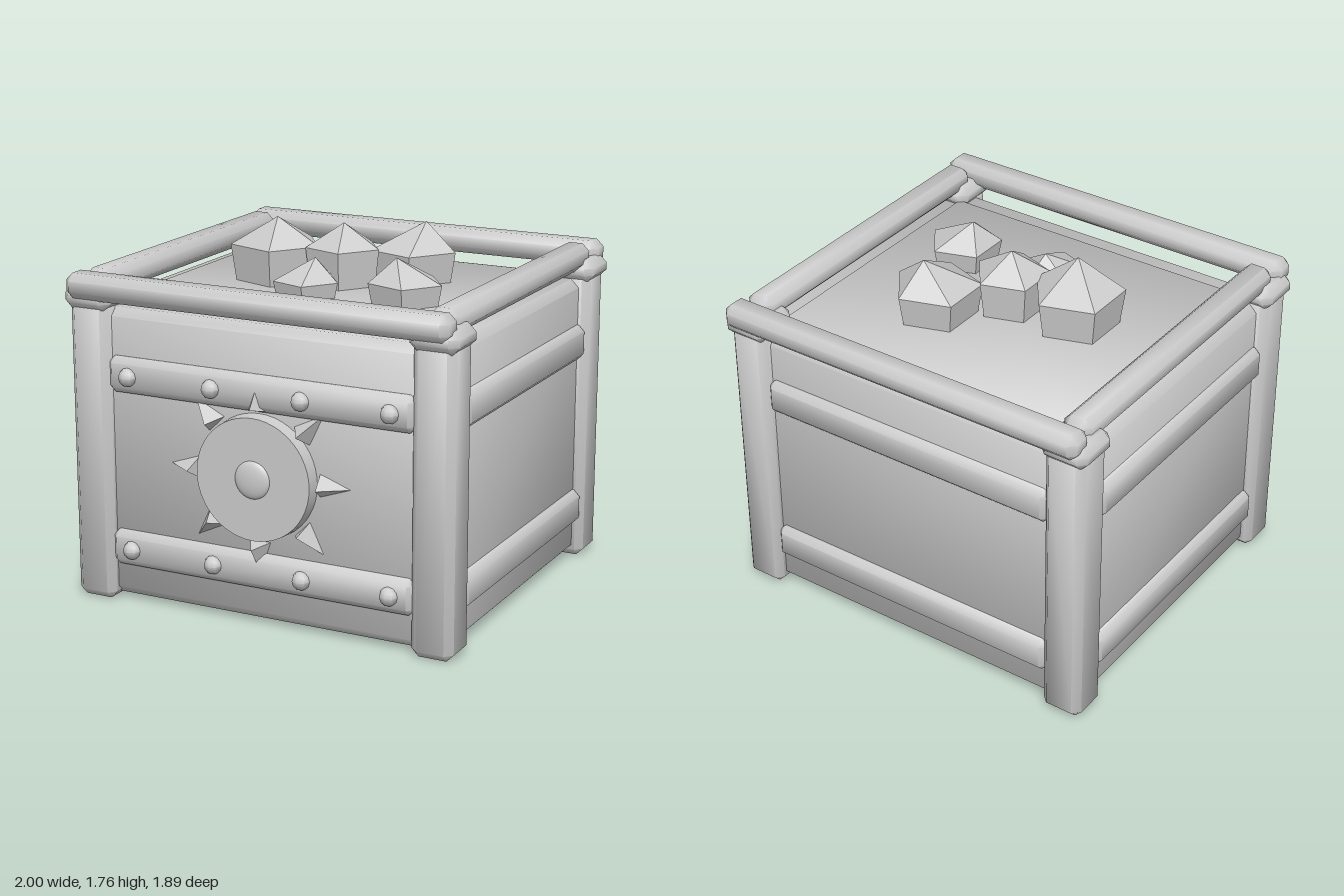
import * as THREE from 'three';
import { toCreasedNormals } from 'three/addons/utils/BufferGeometryUtils.js';
import { ConvexGeometry } from 'three/addons/geometries/ConvexGeometry.js';

// Box with chamfered edges and softened normals
function chamferBox(w, h, d, c) {
  const points = [];
  for (const sx of [-1, 1]) for (const sy of [-1, 1]) for (const sz of [-1, 1]) {
    const x = w / 2, y = h / 2, z = d / 2;
    points.push(
      new THREE.Vector3(sx * x, sy * (y - c), sz * (z - c)),
      new THREE.Vector3(sx * (x - c), sy * y, sz * (z - c)),
      new THREE.Vector3(sx * (x - c), sy * (y - c), sz * z)
    );
  }
  return toCreasedNormals(new ConvexGeometry(points), 1.0);
}

// Five-sided crystal: tapered shaft with a point that leans by (dx, dz)
function crystalGeometry(r, base, tip, dx, dz) {
  const shoulder = tip - 0.62 * r;
  const profile = [[0.88 * r, base], [r, shoulder], [0, tip]].map(([x, y]) => new THREE.Vector2(x, y));
  const geo = new THREE.LatheGeometry(profile, 5).rotateY(Math.PI / 2);
  const pos = geo.attributes.position;
  for (let i = 0; i < pos.count; i++) {
    if (pos.getY(i) > tip - 0.001) pos.setXYZ(i, dx, tip, dz);
  }
  const flat = geo.toNonIndexed();
  flat.computeVertexNormals();
  return flat;
}

export function createModel() {
  const model = new THREE.Group();
  const grey = new THREE.MeshStandardMaterial({ color: 0xcccccc });
  grey.name = 'plain grey';

  const add = (name, geo, x = 0, y = 0, z = 0) => {
    const mesh = new THREE.Mesh(geo, grey);
    mesh.name = name;
    mesh.position.set(x, y, z);
    model.add(mesh);
    return mesh;
  };

  // Crate body and the raised lid panel
  add('body', chamferBox(1.86, 1.4, 1.68, 0.04), 0, 0.72, 0);
  add('lidPanel', chamferBox(1.62, 0.06, 1.4, 0.008), 0, 1.415, 0);

  // Corner posts with caps
  const post = chamferBox(0.206, 1.45, 0.206, 0.035);
  const cap = chamferBox(0.24, 0.115, 0.246, 0.04);
  for (const sx of [-1, 1]) for (const sz of [-1, 1]) {
    add('cornerPost', post, sx * 0.877, 0.725, sz * 0.788);
    add('postCap', cap, sx * 0.88, 1.46, sz * 0.792);
  }

  // Top rails and horizontal bands, mirrored on opposite sides
  const longRail = chamferBox(1.934, 0.122, 0.14, 0.035);
  const sideRail = chamferBox(0.14, 0.122, 1.61, 0.035);
  const longBand = chamferBox(1.57, 0.172, 0.12, 0.03);
  const sideBand = chamferBox(0.12, 0.172, 1.41, 0.03);
  for (const s of [-1, 1]) {
    add('longRail', longRail, 0, 1.522, s * 0.877);
    add('sideRail', sideRail, s * 0.877, 1.522, 0);
    for (const y of [0.268, 1.112]) {
      add('longBand', longBand, 0, y, s * 0.82);
      add('sideBand', sideBand, s * 0.91, y, 0);
    }
  }

  // Rivets on the front bands
  const rivet = toCreasedNormals(new THREE.SphereGeometry(0.045, 8, 6), 0.9);
  for (const y of [0.268, 1.11]) for (const x of [-0.67, -0.23, 0.23, 0.67]) {
    add('rivet', rivet, x, y, 0.878);
  }

  // Sun emblem: disc, domed centre and eight rays
  const cy = 0.72;
  add('sunDisc', new THREE.CylinderGeometry(0.29, 0.297, 0.1, 48).rotateX(Math.PI / 2), 0, cy, 0.86);
  add('sunDome', new THREE.SphereGeometry(0.09, 24, 16).scale(1, 1, 0.3), 0, cy, 0.908);
  const ray = toCreasedNormals(new THREE.ConeGeometry(0.062, 0.15, 3).rotateX(-0.22), 0.1);
  for (let i = 0; i < 8; i++) {
    const a = (i * Math.PI) / 4;
    const mesh = add('sunRay', ray, -Math.sin(a) * 0.39, cy + Math.cos(a) * 0.39, 0.855);
    mesh.rotation.z = a;
  }

  // Crystals on the lid: x, z, radius, tip height, lean x, lean z
  const crystals = [
    [-0.335, 0.045, 0.225, 1.76, 0.03, 0.05],
    [0.255, -0.245, 0.215, 1.725, 0.045, -0.035],
    [0, 0, 0.185, 1.74, 0, 0],
    [-0.04, 0.3, 0.16, 1.617, 0.015, -0.055],
    [0.44, 0.235, 0.18, 1.655, -0.045, 0.01]
  ];
  for (const [x, z, r, tip, dx, dz] of crystals) {
    add('crystal', crystalGeometry(r, 1.43, tip, dx, dz), x, 0, z);
  }

  return model;
}
